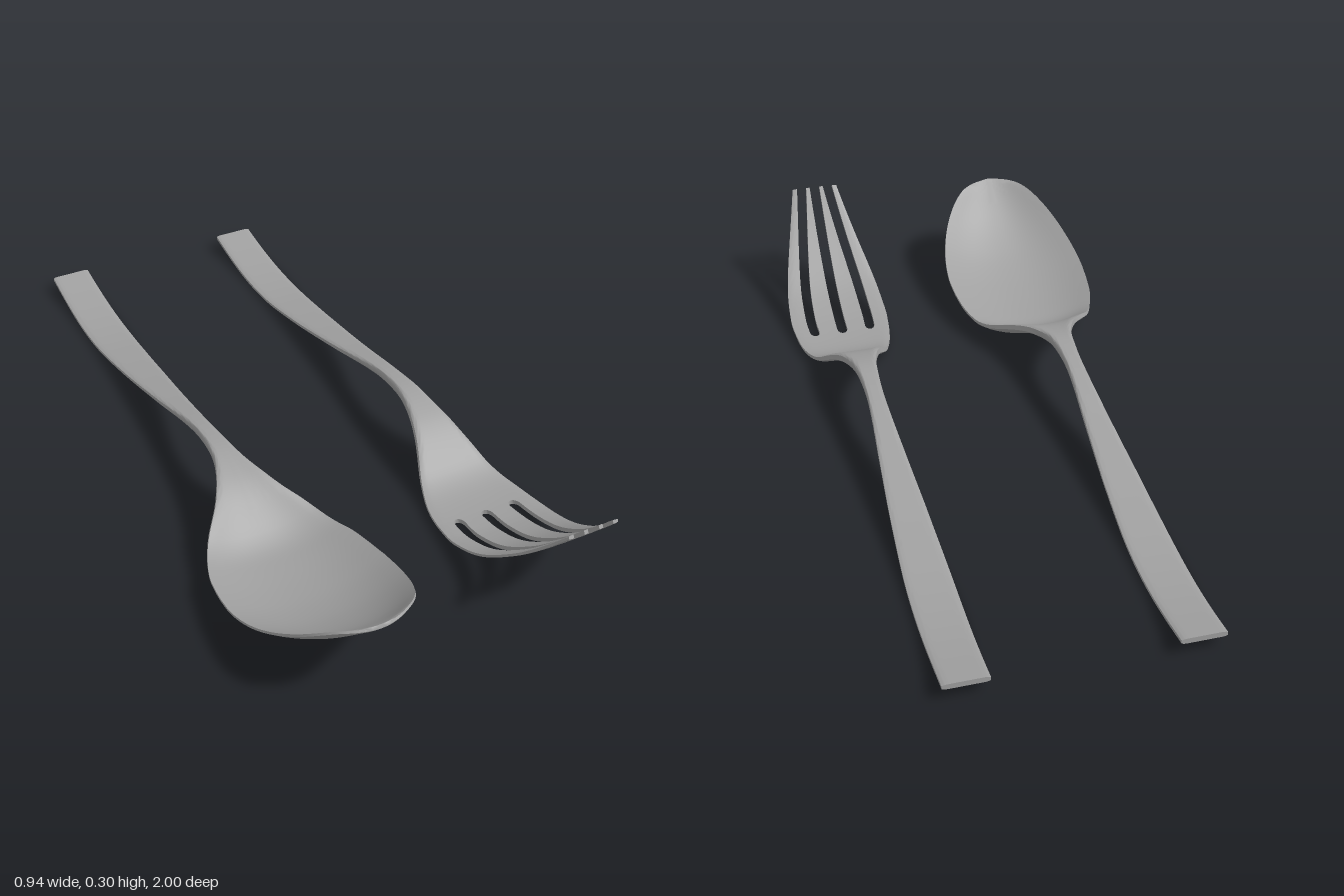
import * as THREE from 'three';
import { toCreasedNormals } from 'three/addons/utils/BufferGeometryUtils.js';

// Smooth interpolation through [z, value] pairs
function smooth(pts) {
  const slope = (i) => {
    const a = pts[Math.max(0, i - 1)], b = pts[Math.min(pts.length - 1, i + 1)];
    return (b[1] - a[1]) / (b[0] - a[0]);
  };
  return (z) => {
    let i = 0;
    while (i < pts.length - 2 && z > pts[i + 1][0]) i++;
    const [z0, v0] = pts[i], [z1, v1] = pts[i + 1];
    const d = z1 - z0, t = Math.min(1, Math.max(0, (z - z0) / d));
    const t2 = t * t, t3 = t2 * t;
    return v0 * (2 * t3 - 3 * t2 + 1) + slope(i) * d * (t3 - 2 * t2 + t)
      + v1 * (3 * t2 - 2 * t3) + slope(i + 1) * d * (t3 - t2);
  };
}

// Shared handle: centre line height, half width and thickness along z
const handleHeight = [[-1, 0.041], [-0.9, 0.023], [-0.8, 0.011], [-0.7, 0.008], [-0.6, 0.014],
  [-0.5, 0.028], [-0.4, 0.045], [-0.2, 0.085], [0, 0.13], [0.1, 0.143], [0.17, 0.143],
  [0.25, 0.124], [0.3, 0.102], [0.35, 0.071], [0.4, 0.037], [0.45, 0.018]];
const handleWidth = [[-1, 0.058], [-0.65, 0.06], [-0.4, 0.05], [-0.2, 0.037], [0, 0.024], [0.1, 0.025]];
const thickness = smooth([[-1, 0.014], [-0.4, 0.014], [-0.1, 0.02], [0.15, 0.029], [0.3, 0.024],
  [0.45, 0.015], [0.6, 0.012], [1, 0.01]]);

// Curved sheet point: side is +1 for the top face, -1 for the underside
function makeSurface(height, width, depth) {
  return (x, z, side) => {
    const u = Math.min(1, Math.abs(x) / Math.max(width(z), 1e-4));
    const s = (height(z + 0.004) - height(z - 0.004)) / 0.008;
    const half = side * thickness(z) * 0.5 * (1 - 0.4 * u ** 12) / Math.hypot(1, s);
    return [x, height(z) + depth(z) * u ** 2.2 + half, z - s * half];
  };
}

// Solid strip between two edge curves on a surface
function strip(surface, left, right, stations, n) {
  const pos = [], idx = [], ring = 2 * n + 2, last = (stations.length - 1) * ring;
  for (const z of stations) {
    const l = left(z), r = right(z);
    for (let j = 0; j <= n; j++) pos.push(...surface(l + (r - l) * j / n, z, 1));
    for (let j = n; j >= 0; j--) pos.push(...surface(l + (r - l) * j / n, z, -1));
  }
  for (let k = 0; k < last; k += ring) {
    for (let j = 0; j < ring; j++) {
      const a = k + j, b = k + (j + 1) % ring;
      idx.push(a, a + ring, b, b, a + ring, b + ring);
    }
  }
  for (let j = 0; j < n; j++) {
    const p = 2 * n + 1 - j;
    idx.push(last + j, last + p, last + j + 1, last + j + 1, last + p, last + p - 1);
    idx.push(j, j + 1, p, j + 1, p - 1, p);
  }
  const g = new THREE.BufferGeometry();
  g.setAttribute('position', new THREE.Float32BufferAttribute(pos, 3));
  g.setIndex(idx);
  return toCreasedNormals(g, 0.8);
}

const range = (a, b, n, ease = (t) => t) =>
  Array.from({ length: n + 1 }, (_, i) => a + (b - a) * ease(i / n));

// Dark steel
const material = new THREE.MeshStandardMaterial({ color: 0xa0a0a0 });
function part(name, geometry) {
  const mesh = new THREE.Mesh(geometry, material);
  mesh.name = name;
  return mesh;
}

function createSpoon() {
  const height = smooth([...handleHeight, [0.5, 0.0165], [0.6, 0.025], [0.7, 0.046], [0.8, 0.086],
    [0.9, 0.151], [1, 0.248]]);
  const neck = smooth([...handleWidth, [0.2, 0.04], [0.3, 0.085], [0.4, 0.155], [0.5, 0.197],
    [0.58, 0.211], [0.65, 0.216]]);
  // Elliptical bowl tip beyond the widest point
  const width = (z) => z < 0.65 ? neck(z) : 0.216 * Math.sqrt(Math.max(0, 1 - ((z - 0.65) / 0.35) ** 2));
  // Rise of the rim above the bowl's centre line
  const depth = smooth([[0.1, 0], [0.2, 0.002], [0.3, 0.012], [0.4, 0.032], [0.5, 0.046], [0.65, 0.053],
    [0.8, 0.054], [0.9, 0.046], [0.96, 0.028], [1, 0]]);
  const surface = makeSurface(height, width, depth);
  const stations = [...range(-1, 0.65, 90), ...range(0.65, 0.9998, 36, (t) => Math.sin(t * Math.PI / 2)).slice(1)];
  const spoon = new THREE.Group();
  spoon.name = 'spoon';
  spoon.add(part('spoonHandleAndBowl', strip(surface, (z) => -width(z), width, stations, 24)));
  spoon.position.x = -0.254;
  return spoon;
}

function createFork() {
  const height = smooth([...handleHeight, [0.5, 0.012], [0.57, 0.015], [0.65, 0.029], [0.75, 0.071],
    [0.85, 0.146], [0.92, 0.216], [0.99, 0.298]]);
  const width = smooth([...handleWidth, [0.2, 0.036], [0.3, 0.063], [0.4, 0.102], [0.5, 0.133],
    [0.6, 0.146], [0.65, 0.147], [0.75, 0.138], [0.85, 0.114], [0.99, 0.07]]);
  const depth = smooth([[0.2, 0], [0.4, 0.003], [0.6, 0.005], [0.8, 0.004], [0.99, 0]]);
  const surface = makeSurface(height, width, depth);
  const slotStart = 0.555;
  // Slots open with a round end, then keep a constant width
  const slot = (z) => {
    const s = Math.min(1, Math.max(0, (z - slotStart) / 0.022));
    return 0.0155 * Math.sqrt(1 - (1 - s) ** 2);
  };
  const sideSlot = (z) => 0.6 * width(z);
  const fork = new THREE.Group();
  fork.name = 'fork';
  fork.add(part('forkHandle', strip(surface, (z) => -width(z), width, range(-1, slotStart, 90), 24)));

  const stations = range(slotStart, 0.99, 44, (t) => t ** 1.7);
  const tines = [
    ['InnerTine', slot, (z) => sideSlot(z) - slot(z)],
    ['OuterTine', (z) => sideSlot(z) + slot(z) * 0.9, width],
  ];
  for (const [name, near, far] of tines) {
    fork.add(part('left' + name, strip(surface, near, far, stations, 6)));
    fork.add(part('right' + name, strip(surface, (z) => -far(z), (z) => -near(z), stations, 6)));
  }
  fork.position.x = 0.322;
  return fork;
}

export function createModel() {
  const model = new THREE.Group();
  model.name = 'cutlery';
  model.add(createSpoon(), createFork());
  return model;
}
